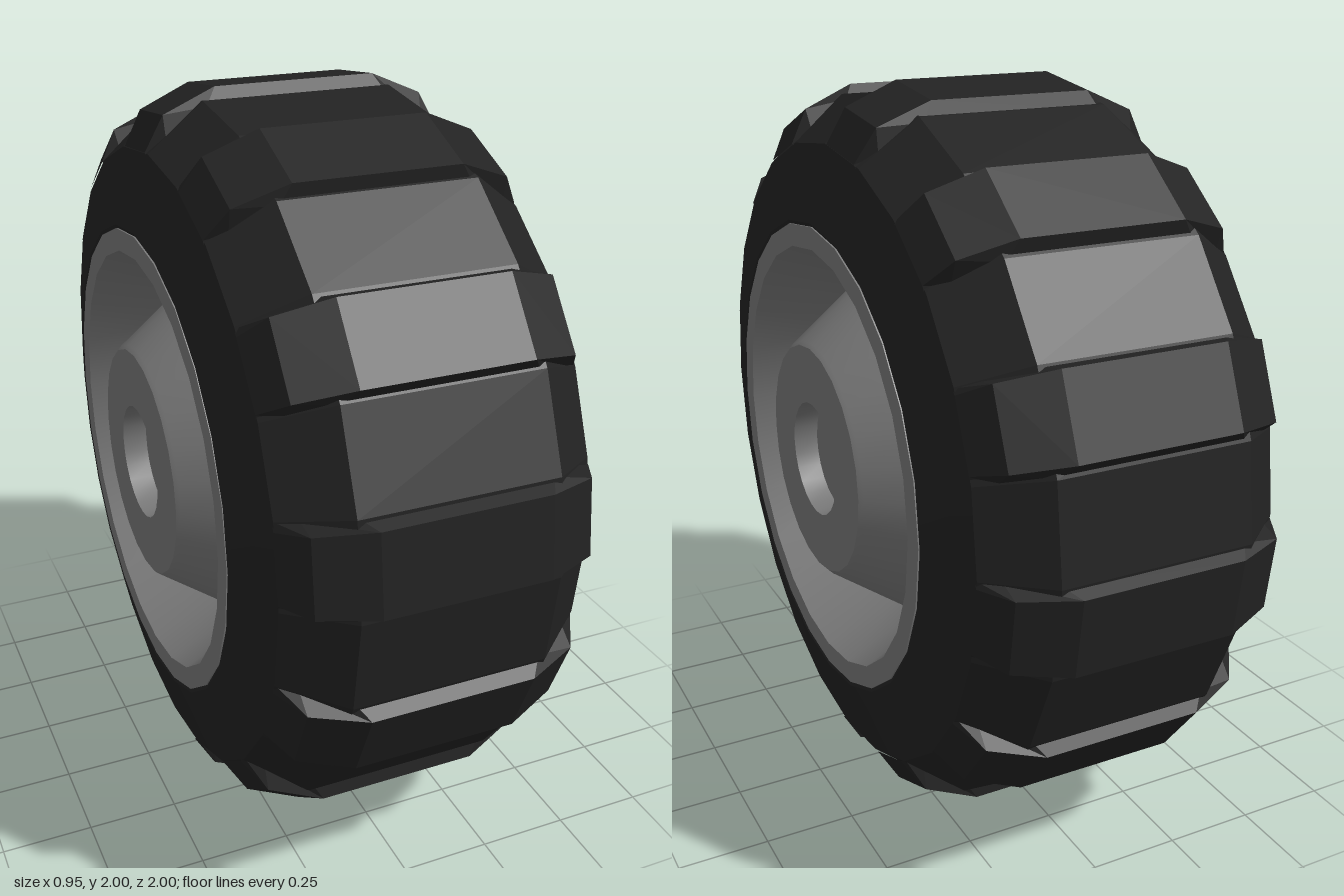
import * as THREE from 'three';
import { toCreasedNormals } from 'three/addons/utils/BufferGeometryUtils.js';

const DEG = Math.PI / 180;
const SIDES = 24;
const LUGS = 12;

// Turns [radius, x] points around the x axis
function turned(points, crease) {
  const profile = points.map(([r, x]) => new THREE.Vector2(r, x));
  const geometry = new THREE.LatheGeometry(profile, SIDES);
  geometry.rotateZ(-Math.PI / 2);
  return toCreasedNormals(geometry, crease);
}

// Adds the mirrored half to a list of [radius, x] points
function mirrored(half) {
  return [...half.map(([r, x]) => [r, -x]), ...half.slice().reverse()];
}

// Raised tread bar: cross-sections across the tyre at four angles
function lugGeometry() {
  const foot = mirrored([[0.84, 0.41], [0.88, 0.36], [0.955, 0.25]]);
  const crown = mirrored([[0.85, 0.412], [0.94, 0.36], [1.0, 0.22]]);
  const sections = [[0, foot], [1.2, crown], [13.4, crown], [15, foot]];
  const point = (i, j) => {
    const [angle, profile] = sections[i];
    const [r, x] = profile[j];
    return [x, r * Math.cos(angle * DEG), -r * Math.sin(angle * DEG)];
  };
  const positions = [];
  for (let i = 0; i < sections.length - 1; i++) {
    for (let j = 0; j < foot.length - 1; j++) {
      const a = point(i, j), b = point(i, j + 1);
      const c = point(i + 1, j + 1), d = point(i + 1, j);
      positions.push(...a, ...b, ...d, ...b, ...c, ...d);
    }
  }
  const geometry = new THREE.BufferGeometry();
  geometry.setAttribute('position', new THREE.Float32BufferAttribute(positions, 3));
  geometry.computeVertexNormals();
  return geometry;
}

export function createModel() {
  const rubber = new THREE.MeshStandardMaterial({ color: 0x222222 });
  rubber.name = 'black rubber';
  const metal = new THREE.MeshStandardMaterial({ color: 0x7a7a7a });
  metal.name = 'grey metal';

  const wheel = new THREE.Group();
  wheel.name = 'wheel';
  wheel.position.y = 1;

  const add = (name, geometry, material, parent = wheel) => {
    const mesh = new THREE.Mesh(geometry, material);
    mesh.name = name;
    parent.add(mesh);
    return mesh;
  };

  // Tyre carcass: sidewalls, shoulders and the faceted running surface
  const carcass = mirrored([[0.635, 0.45], [0.65, 0.458], [0.85, 0.41], [0.97, 0.26]]);
  add('tyre', turned(carcass, 0.2), rubber);

  // Tread bars
  const lug = lugGeometry();
  const tread = new THREE.Group();
  tread.name = 'tread';
  wheel.add(tread);
  for (let i = 0; i < LUGS; i++) {
    add('treadBar', lug, rubber, tread).rotation.x = (i * 2 * Math.PI) / LUGS;
  }

  // Rim lip, dished wall, hub cone and axle recess, one on each side
  const rim = turned([[0.64, 0.44], [0.64, 0.457], [0.58, 0.457], [0.485, 0.235]], 0.5);
  const hub = turned([[0.485, 0.235], [0.325, 0.465], [0.315, 0.475], [0.157, 0.475]], 0.4);
  const axle = turned([[0.157, 0.475], [0.15, 0.41], [0, 0.41]], 0.5);
  for (const side of [1, -1]) {
    const face = new THREE.Group();
    face.name = side > 0 ? 'leftWheelFace' : 'rightWheelFace';
    face.rotation.y = side > 0 ? 0 : Math.PI;
    wheel.add(face);
    add('rim', rim, metal, face);
    add('hub', hub, metal, face);
    add('axleRecess', axle, metal, face);
  }

  const model = new THREE.Group();
  model.name = 'model';
  model.add(wheel);
  return model;
}
